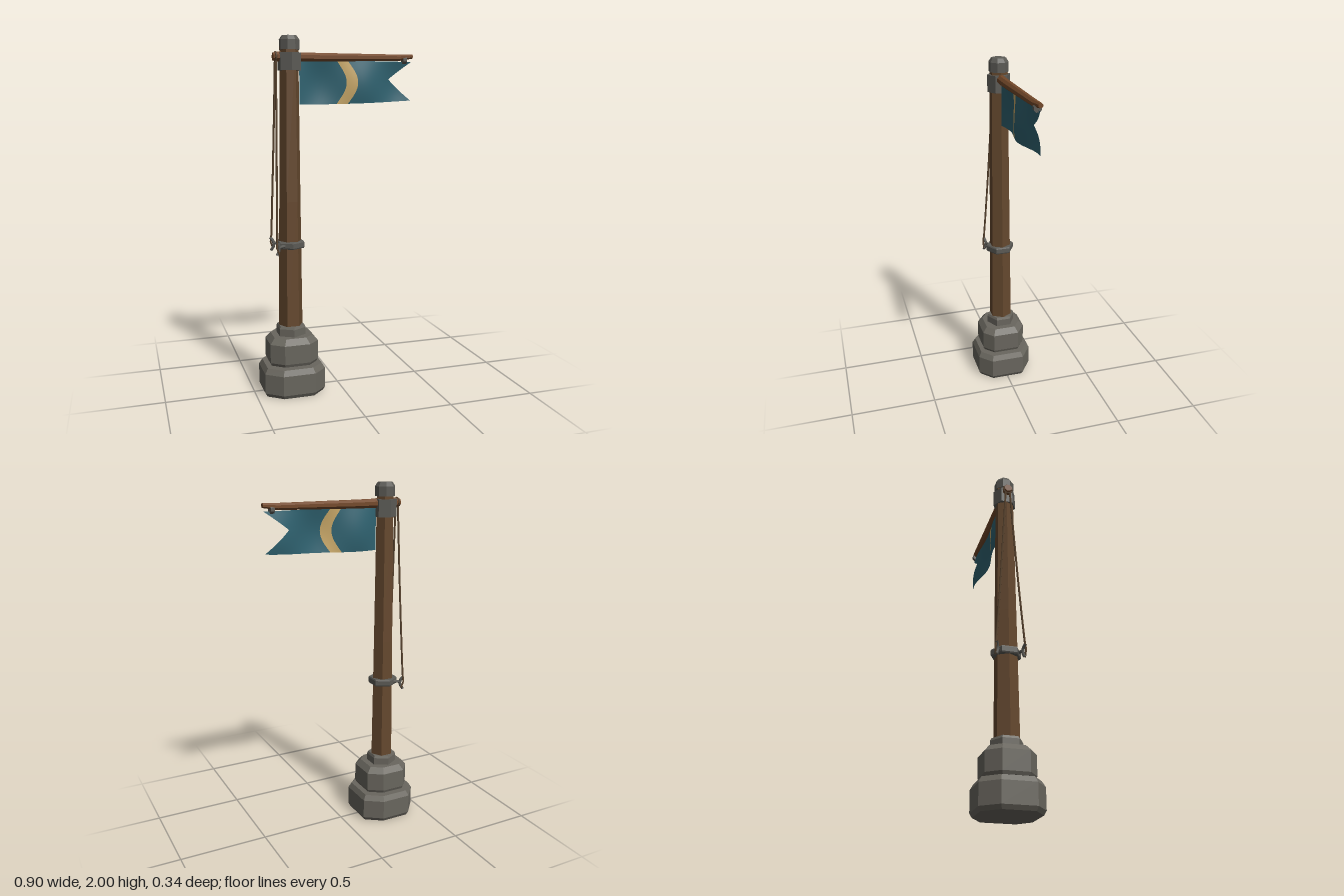
import * as THREE from 'three';

const mat = (name, color, side = THREE.FrontSide) => {
  const m = new THREE.MeshStandardMaterial({ color, side });
  m.name = name;
  return m;
};

// Regular polygon as [x, z] pairs, going from +z towards +x
const ngon = (n, turn = 0, r = 1) => Array.from({ length: n }, (_, i) => {
  const a = turn + (i / n) * Math.PI * 2;
  return [Math.sin(a) * r, Math.cos(a) * r];
});

// Faceted solid: one outline stacked in layers [y, scale, centreX, centreZ]
function loft(outline, layers) {
  const pos = [];
  const n = outline.length;
  const at = ([y, s, cx = 0, cz = 0], j) => [cx + outline[j % n][0] * s, y, cz + outline[j % n][1] * s];
  const mid = ([y, , cx = 0, cz = 0]) => [cx, y, cz];
  const top = layers[layers.length - 1];
  for (let j = 0; j < n; j++) {
    for (let i = 0; i + 1 < layers.length; i++) {
      const a = at(layers[i], j), b = at(layers[i], j + 1);
      const c = at(layers[i + 1], j + 1), d = at(layers[i + 1], j);
      pos.push(...a, ...b, ...c, ...a, ...c, ...d);
    }
    pos.push(...mid(top), ...at(top, j), ...at(top, j + 1));
    pos.push(...mid(layers[0]), ...at(layers[0], j + 1), ...at(layers[0], j));
  }
  const g = new THREE.BufferGeometry();
  g.setAttribute('position', new THREE.Float32BufferAttribute(pos, 3));
  g.computeVertexNormals();
  return g;
}

function tube(points, r, segments, sides = 5) {
  const curve = new THREE.CatmullRomCurve3(points.map(p => new THREE.Vector3(...p)));
  return new THREE.TubeGeometry(curve, segments, r, sides);
}

// Wavy cloth between two edges given as x = f(y)
function cloth(x0, x1, cols, yTop, yBottom) {
  const rows = 16, pos = [], idx = [];
  for (let i = 0; i <= rows; i++) {
    const v = i / rows;
    for (let j = 0; j <= cols; j++) {
      const y0 = yTop + (yBottom - yTop) * v;
      const x = THREE.MathUtils.lerp(x0(y0), x1(y0), j / cols);
      const u = (x + 0.215) / 0.66;
      const amp = 0.006 + 0.02 * Math.sin(Math.PI * Math.min(1, v * 0.85));
      pos.push(x, y0 + 0.022 * v * u * u, -amp * Math.sin(u * Math.PI * 2.8));
    }
  }
  const w = cols + 1;
  for (let i = 0; i < rows; i++) for (let j = 0; j < cols; j++) {
    const a = i * w + j;
    idx.push(a, a + w, a + 1, a + 1, a + w, a + w + 1);
  }
  const g = new THREE.BufferGeometry();
  g.setAttribute('position', new THREE.Float32BufferAttribute(pos, 3));
  g.setIndex(idx);
  g.computeVertexNormals();
  return g;
}

export function createModel() {
  const stone = mat('stone', 0x69665e);
  const iron = mat('iron', 0x5c5b56);
  const wood = mat('pole wood', 0x65482e);
  const sparWood = mat('spar wood', 0x74492a);
  const rope = mat('rope', 0x5c4630);
  const teal = mat('teal cloth', 0x2f6270, THREE.DoubleSide);
  const cream = mat('cream cloth', 0xc9a868, THREE.DoubleSide);

  const model = new THREE.Group();
  model.name = 'flagpole';
  const add = (name, geometry, material, parent = model) => {
    const m = new THREE.Mesh(geometry, material);
    m.name = name;
    parent.add(m);
    return m;
  };

  // Two uneven chamfered stone blocks
  const X = -0.28;
  const block = [[-0.085, 0.17], [0.1, 0.17], [0.175, 0.1], [0.175, -0.1],
    [0.075, -0.17], [-0.1, -0.17], [-0.175, -0.08], [-0.175, 0.1]];
  add('lowerBase', loft(block, [[0, 0.93, X], [0.022, 1, X], [0.135, 1, X], [0.165, 0.9, X]]), stone);
  add('upperBase', loft(block, [[0.173, 0.75, X], [0.19, 0.79, X], [0.298, 0.79, X], [0.33, 0.63, X]]), stone);

  // Tapered six-sided pole, leaning slightly
  const hexX = ngon(6, Math.PI / 6), hexZ = ngon(6);
  add('pole', loft(hexX, [[0.32, 0.07, -0.281], [1.1, 0.061, -0.278], [1.94, 0.052, -0.274]]), wood);

  // Collars around the pole
  add('footCollar', loft(hexZ, [[0.325, 0.087, X], [0.372, 0.087, X], [0.386, 0.08, X]]), stone);
  add('cleatRing', loft(hexZ, [[0.835, 0.08, X], [0.842, 0.084, X], [0.868, 0.084, X], [0.875, 0.08, X]]), iron);
  add('topCollar', loft(hexZ, [[1.815, 0.066, -0.273], [1.91, 0.066, -0.273]]), iron);
  add('poleCap', loft(ngon(8, Math.PI / 8), [[1.925, 0.056, -0.273], [1.978, 0.056, -0.273], [2, 0.042, -0.273]]), iron);

  // Spar: a tapered rod lying along x, built upright and turned
  const spar = add('spar', loft(ngon(8, Math.PI / 8), [
    [-0.365, 0.022, 0], [-0.345, 0.027, 0], [-0.1, 0.025, 0],
    [0.37, 0.019, 0.006, -0.003], [0.45, 0.013, 0.014, -0.004]]), sparWood);
  spar.rotation.z = -Math.PI / 2;
  spar.scale.x = -1;
  spar.geometry.scale(-1, 1, 1);
  spar.scale.x = 1;
  // Mirroring the rod reverses its faces, so swap two corners of each
  const p = spar.geometry.attributes.position;
  for (let i = 0; i < p.count; i += 3) {
    const b = [p.getX(i + 1), p.getY(i + 1), p.getZ(i + 1)];
    p.setXYZ(i + 1, p.getX(i + 2), p.getY(i + 2), p.getZ(i + 2));
    p.setXYZ(i + 2, ...b);
  }
  spar.geometry.computeVertexNormals();
  spar.position.y = 1.888;
  const band = add('sparBand', loft(ngon(8, Math.PI / 8), [[-0.011, 0.022], [0.011, 0.022]]), iron);
  band.rotation.z = -Math.PI / 2;
  band.position.set(0.4, 1.88, -0.003);

  // Swallow-tailed flag with a bent stripe
  const flag = new THREE.Group();
  flag.name = 'flag';
  model.add(flag);
  const yTop = 1.872, yBottom = 1.632, yNotch = 1.767;
  const hoist = () => -0.218;
  const bend = y => 0.055 * Math.sin(Math.PI * THREE.MathUtils.clamp((yTop - y) / (yTop - yBottom), 0, 1));
  const stripeL = y => -0.003 + bend(y);
  const stripeR = y => 0.06 + bend(y);
  const tail = y => 0.445 - 0.135 * (1 - Math.abs(y - yNotch) / (y > yNotch ? yTop - yNotch : yNotch - yBottom));
  add('flagInner', cloth(hoist, stripeL, 10, yTop, yBottom), teal, flag);
  add('flagStripe', cloth(stripeL, stripeR, 4, yTop, yBottom), cream, flag);
  add('flagOuter', cloth(stripeR, tail, 14, yTop, yBottom), teal, flag);

  // Halyard loop at the spar butt
  const loop = add('halyardLoop', new THREE.TorusGeometry(0.025, 0.006, 5, 10), rope);
  loop.rotation.y = Math.PI / 2;
  loop.position.set(-0.35, 1.888, 0);

  // Ropes running down to a cleat on each side
  for (const s of [1, -1]) {
    const side = s > 0 ? 'front' : 'back';
    add(side + 'Rope', tube([[-0.35, 1.875, s * 0.012], [-0.357, 1.5, s * 0.035],
      [-0.365, 1.15, s * 0.058], [-0.372, 0.87, s * 0.08], [-0.375, 0.83, s * 0.085],
      [-0.36, 0.815, s * 0.08]], 0.006, 24), rope);
    add(side + 'CleatArm', tube([[-0.31, 0.855, s * 0.05], [-0.335, 0.853, s * 0.058],
      [-0.362, 0.85, s * 0.07]], 0.009, 4), iron);
    add(side + 'CleatHorn', tube([[-0.378, 0.882, s * 0.078], [-0.362, 0.862, s * 0.07],
      [-0.36, 0.835, s * 0.07], [-0.374, 0.808, s * 0.078]], 0.009, 8), iron);
  }
  return model;
}
